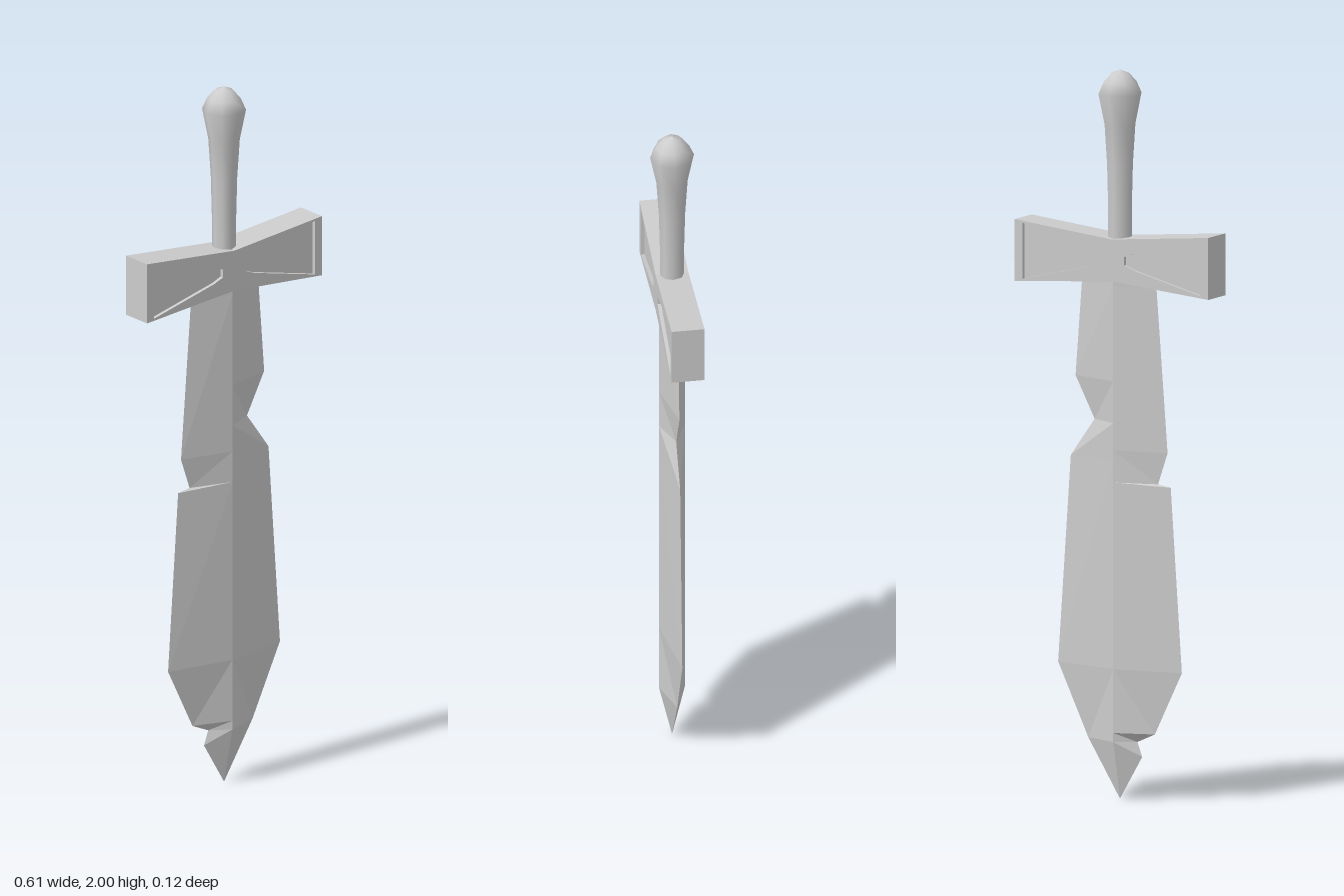
import * as THREE from 'three';

const grey = (opts = {}) => new THREE.MeshStandardMaterial({ color: 0xcccccc, ...opts });

function named(name, geometry, material) {
  const mesh = new THREE.Mesh(geometry, material);
  mesh.name = name;
  return mesh;
}

const shapeOf = (pts) => new THREE.Shape(pts.map(([x, y]) => new THREE.Vector2(x, y)));

// Diamond-section blade: each chipped cutting edge is joined to the central ridges.
function bladeGeometry() {
  const leftEdge = [[0.117, 1.45], [0.12, 1.41], [0.14, 1.15], [0.08, 1.035], [0.155, 0.93],
    [0.195, 0.36], [0.1, 0.16], [0, 0]];
  const rightEdge = [[-0.112, 1.45], [-0.115, 1.41], [-0.15, 0.96], [-0.12, 0.872], [-0.16, 0.866],
    [-0.195, 0.36], [-0.11, 0.185], [-0.055, 0.16], [-0.07, 0.12], [0, 0]];
  const ridge = (y) => 0.036 * Math.min(1, y / 0.16);
  const pos = [];
  for (const [edge, side] of [[leftEdge, 1], [rightEdge, -1]]) {
    for (const face of [1, -1]) {
      for (let i = 0; i < edge.length - 1; i++) {
        const [x0, y0] = edge[i], [x1, y1] = edge[i + 1];
        const a = [0, y0, face * ridge(y0)], b = [0, y1, face * ridge(y1)];
        const c = [x1, y1, 0], d = [x0, y0, 0];
        const quad = side * face > 0 ? [a, b, c, a, c, d] : [a, c, b, a, d, c];
        pos.push(...quad.flat());
      }
    }
  }
  const geo = new THREE.BufferGeometry();
  geo.setAttribute('position', new THREE.Float32BufferAttribute(pos, 3));
  geo.computeVertexNormals();
  return geo;
}

// Bow-tie crossguard: solid core with pierced plates that leave shallow recesses.
function createGuard() {
  const guard = new THREE.Group();
  guard.name = 'crossguard';
  const outline = [[-0.305, 1.4], [0, 1.425], [0.305, 1.4], [0.305, 1.57], [0, 1.54], [-0.305, 1.57]];
  const recess = [[0.04, 1.472], [0.07, 1.46], [0.28, 1.408], [0.28, 1.562], [0.07, 1.506], [0.04, 1.495]];
  const half = 0.045, plate = 0.01;

  const addLayer = (name, shape, z, depth) => {
    const geo = new THREE.ExtrudeGeometry(shape, { depth, bevelEnabled: false });
    geo.translate(0, 0, z);
    guard.add(named(name, geo, grey({ flatShading: true })));
  };

  const plateShape = shapeOf(outline);
  for (const s of [1, -1]) {
    plateShape.holes.push(new THREE.Path(recess.map(([x, y]) => new THREE.Vector2(s * x, y))));
  }
  addLayer('guardCore', shapeOf(outline), -half + plate, 2 * (half - plate));
  addLayer('guardFrontPlate', plateShape, half - plate, plate);
  addLayer('guardBackPlate', plateShape, -half, plate);
  return guard;
}

// Eight-sided grip flaring into a domed pommel.
function gripGeometry() {
  const profile = [[0.033, 1.5], [0.033, 1.62], [0.036, 1.74], [0.043, 1.85], [0.06, 1.935],
    [0.046, 1.967], [0.025, 1.99], [0, 2]];
  return new THREE.LatheGeometry(profile.map(([r, y]) => new THREE.Vector2(r, y)), 8);
}

export function createModel() {
  const sword = new THREE.Group();
  sword.name = 'sword';
  sword.add(
    named('blade', bladeGeometry(), grey({ flatShading: true })),
    createGuard(),
    named('grip', gripGeometry(), grey()),
  );
  return sword;
}
